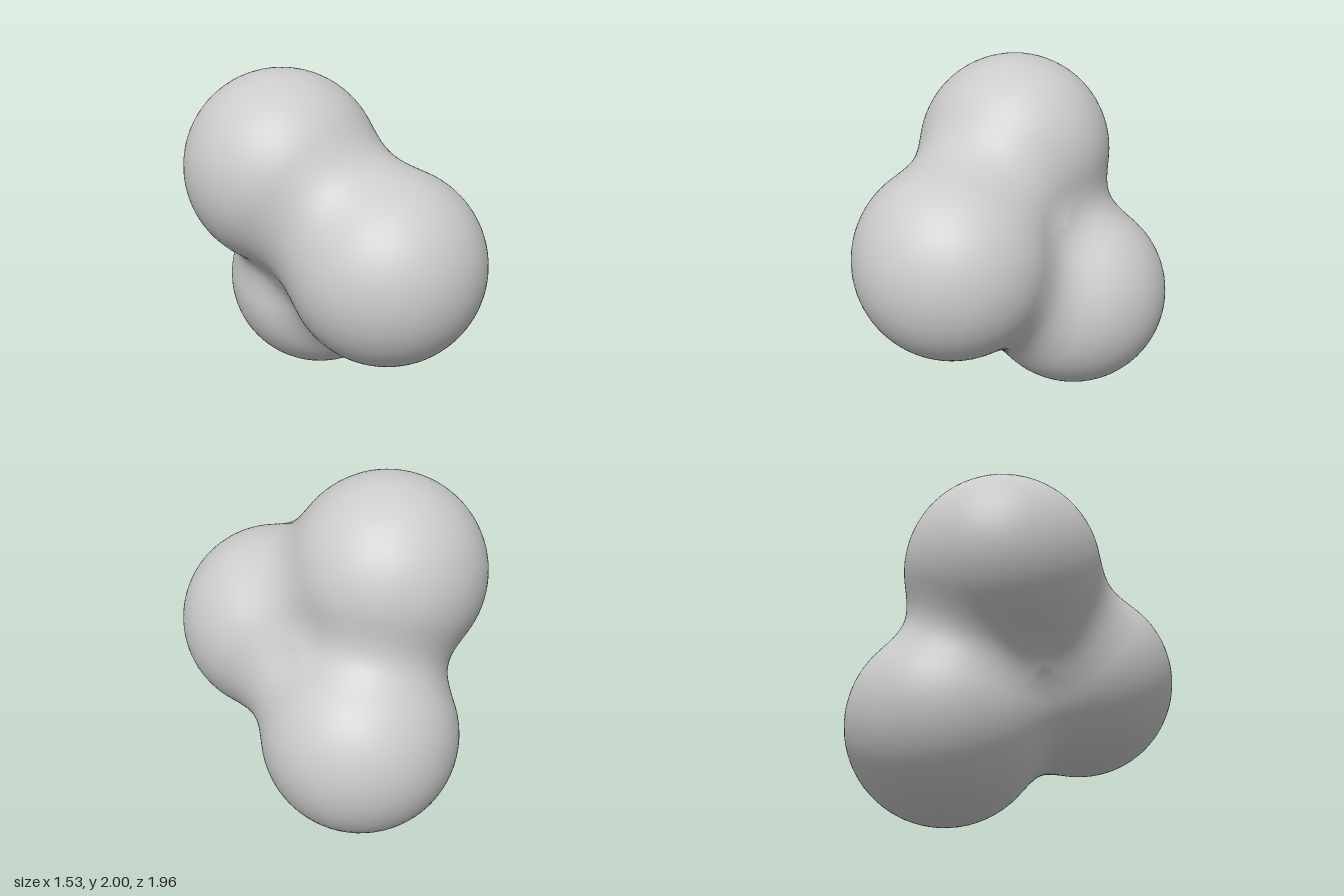
import * as THREE from 'three';

// Three equal balls melted into one another
const R = 0.573, BLEND = 0.28;
const topBall = new THREE.Vector3(-0.19, 1.427, -0.265);
const frontBall = new THREE.Vector3(0.03, 0.965, 0.405);
const lowBall = new THREE.Vector3(0.197, 0.573, -0.405);
const core = new THREE.Vector3().add(topBall).add(frontBall).add(lowBall).divideScalar(3);

// Smooth minimum rounds the valleys between balls
function smoothMin(a, b) {
  const h = Math.max(BLEND - Math.abs(a - b), 0) / BLEND;
  return Math.min(a, b) - h * h * BLEND / 4;
}

// Signed distance to the blended surface
function field(p) {
  const [a, b, c] = [topBall, frontBall, lowBall]
    .map((ball) => p.distanceTo(ball) - R).sort((u, v) => u - v);
  return smoothMin(smoothMin(a, b), c);
}

// Surface normal from the field's slope
function slope(p) {
  const e = 0.002, n = new THREE.Vector3();
  for (const axis of ['x', 'y', 'z']) {
    const q = p.clone();
    q[axis] += e;
    const ahead = field(q);
    q[axis] -= 2 * e;
    n[axis] = ahead - field(q);
  }
  return n.normalize();
}

export function createModel() {
  const group = new THREE.Group();
  group.name = 'blob';

  // Push every point of a sphere out from the core until it meets the surface
  const geometry = new THREE.IcosahedronGeometry(1, 24);
  const pos = geometry.attributes.position, nor = geometry.attributes.normal;
  const dir = new THREE.Vector3(), p = new THREE.Vector3();
  for (let i = 0; i < pos.count; i++) {
    dir.fromBufferAttribute(pos, i).normalize();
    let near = 0, far = 1.6;
    for (let k = 0; k < 24; k++) {
      const mid = (near + far) / 2;
      p.copy(core).addScaledVector(dir, mid);
      if (field(p) < 0) near = mid; else far = mid;
    }
    pos.setXYZ(i, p.x, p.y, p.z);
    const n = slope(p);
    nor.setXYZ(i, n.x, n.y, n.z);
  }
  geometry.computeBoundingSphere();

  const mesh = new THREE.Mesh(geometry, new THREE.MeshStandardMaterial({ color: 0xcccccc }));
  mesh.name = 'meltedBalls';
  group.add(mesh);
  return group;
}
